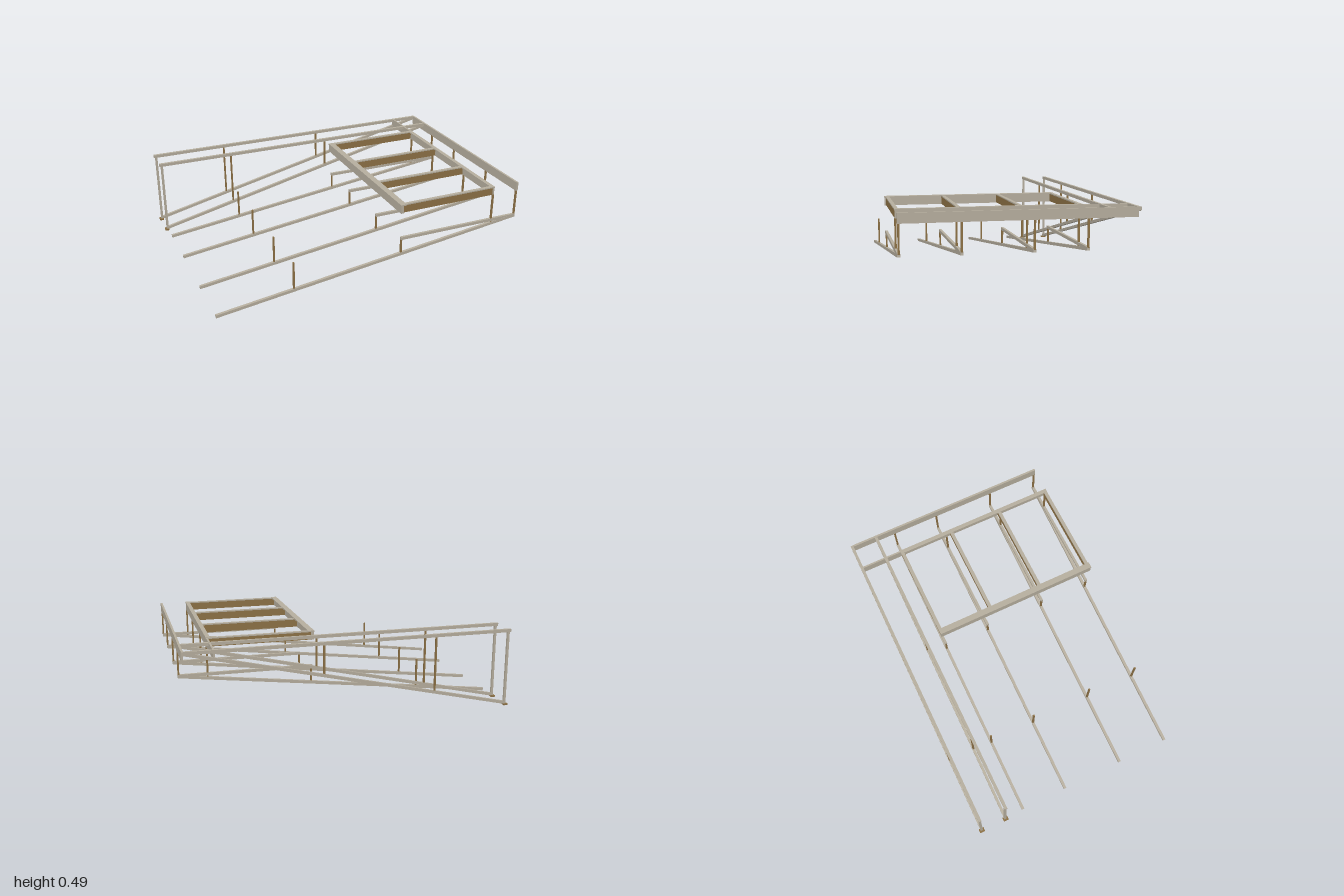
import * as THREE from 'three';

const timber = new THREE.MeshStandardMaterial({ color: 0xb8b0a0 });
timber.name = 'pale timber';
const brown = new THREE.MeshStandardMaterial({ color: 0x8f7347 });
brown.name = 'brown timber';

export function createModel() {
  const model = new THREE.Group();
  model.name = 'timberFrame';

  // Axis-aligned box given by its limits
  function box(name, mat, x0, x1, y0, y1, z0, z1, parent = model) {
    const mesh = new THREE.Mesh(new THREE.BoxGeometry(x1 - x0, y1 - y0, z1 - z0), mat);
    mesh.position.set((x0 + x1) / 2, (y0 + y1) / 2, (z0 + z1) / 2);
    mesh.name = name;
    parent.add(mesh);
    return mesh;
  }

  // Sloping rail with its centre line between two points in the xy plane
  function slope(name, x0, y0, x1, y1, z, parent) {
    const length = Math.hypot(x1 - x0, y1 - y0);
    const mesh = new THREE.Mesh(new THREE.BoxGeometry(length, 0.018, 0.017), timber);
    mesh.position.set((x0 + x1) / 2, (y0 + y1) / 2, z);
    mesh.rotation.z = Math.atan2(y1 - y0, x1 - x0);
    mesh.name = name;
    parent.add(mesh);
  }

  // Slim brown upright
  function post(name, x, y0, y1, z, parent) {
    box(name, brown, x - 0.005, x + 0.005, y0, y1, z - 0.0055, z + 0.0055, parent);
  }

  // Two tall triangular trusses at the back
  for (const z of [-0.667, -0.499]) {
    const truss = new THREE.Group();
    truss.name = 'tallTruss';
    model.add(truss);
    box('topRail', timber, -0.998, 0.994, 0.467, 0.486, z - 0.009, z + 0.009, truss);
    box('endPost', timber, -0.99, -0.976, 0.008, 0.467, z - 0.007, z + 0.007, truss);
    box('basePlate', brown, -1, -0.974, 0, 0.01, z - 0.017, z + 0.017, truss);
    slope('diagonalRail', -0.985, 0.014, 0.99, 0.473, z, truss);
    post('midPost', -0.51, 0.13, 0.467, z, truss);
    post('innerPost', 0.183, 0.29, 0.467, z, truss);
  }

  // Four low ramps with short horizontal rails
  for (const z of [-0.371, -0.066, 0.336, 0.673]) {
    const ramp = new THREE.Group();
    ramp.name = 'ramp';
    model.add(ramp);
    slope('rampRail', -0.983, 0.011, 0.992, 0.259, z, ramp);
    box('levelRail', timber, 0.178, 0.992, 0.252, 0.27, z - 0.008, z + 0.008, ramp);
    post('freePost', -0.51, 0.075, 0.25, z, ramp);
    post('shortPost', 0.183, 0.165, 0.253, z, ramp);
    post('innerPost', 0.817, 0.24, 0.435, z, ramp);
    post('endPost', 0.988, 0.265, 0.435, z, ramp);
  }

  // Upper deck: long beams with flat caps
  box('leftEdgeBoard', timber, 0.983, 0.996, 0.43, 0.487, -0.66, 0.68);
  box('innerBeam', timber, 0.811, 0.822, 0.43, 0.485, -0.672, 0.676);
  box('innerBeamCap', timber, 0.797, 0.823, 0.479, 0.487, -0.394, 0.678);
  box('outerBeam', timber, 0.171, 0.188, 0.43, 0.48, -0.392, 0.682);
  box('outerBeamCap', timber, 0.168, 0.206, 0.479, 0.487, -0.394, 0.684);

  // Brown joists, each under a pale cap
  for (const z of [-0.384, -0.033, 0.32, 0.666]) {
    box('joist', brown, 0.188, 0.815, 0.432, 0.48, z - 0.008, z + 0.008);
    box('joistCap', timber, 0.19, 0.81, 0.479, 0.486, z - 0.011, z + 0.011);
  }

  return model;
}
